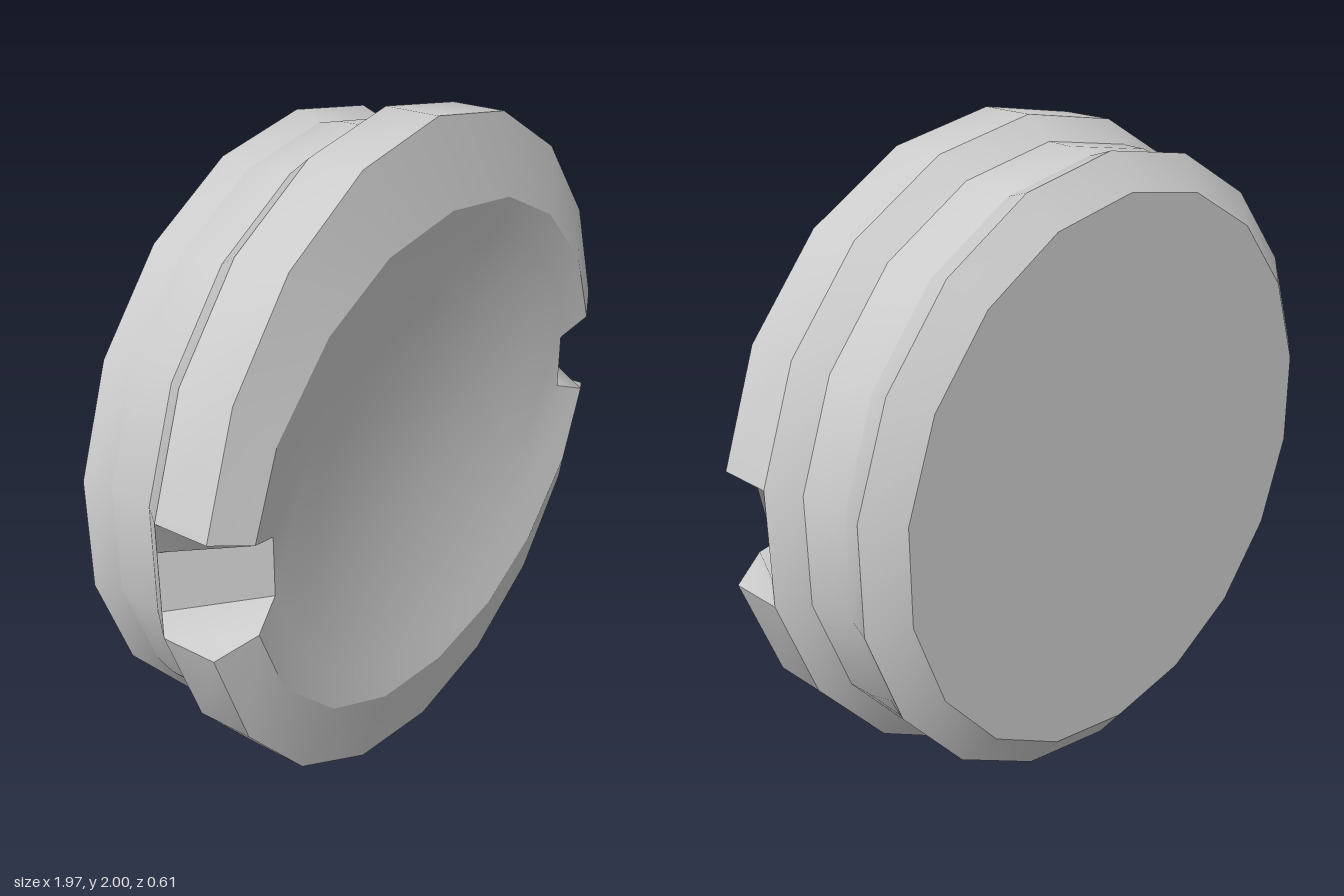
import * as THREE from 'three';
import { toCreasedNormals } from 'three/addons/utils/BufferGeometryUtils.js';

const SIDES = 18;
const NOTCH = [8, 17]; // sectors centred on -x and +x
const FRONT = 0.305, DEPTH = 0.105;
const RIM = [[0, 0.75], [0.302, 0.708], [0.56, 0.582], [0.775, 0.37], [0.87, 0.135]]; // top to side

const angle = k => (10 + 20 * k) * Math.PI / 180;

// one closed round loop of points
const loop = (z, r) => Array.from({ length: SIDES }, (_, k) =>
  new THREE.Vector3(r * Math.cos(angle(k)), r * Math.sin(angle(k)), z));

// one closed loop shaped like the oval dish rim, mirrored from its quarter
const dishLoop = t => loop(FRONT - DEPTH * (1 - t * t), 1).map(p => {
  const step = Math.round(Math.acos(Math.min(1, Math.abs(p.y))) / (Math.PI / 9));
  const [x, y] = RIM[step];
  return new THREE.Vector3(Math.sign(p.x) * x * t, Math.sign(p.y) * y * t, p.z);
});

function makeMesh(name, triangles, material, crease = 0.45) {
  const points = triangles.filter(([a, b, c]) =>
    b.clone().sub(a).cross(c.clone().sub(a)).length() > 1e-8).flat();
  const geometry = new THREE.BufferGeometry().setFromPoints(points);
  const mesh = new THREE.Mesh(toCreasedNormals(geometry, crease), material);
  mesh.name = name;
  return mesh;
}

// surface through consecutive loops, optionally leaving the notch sectors open
function skin(loops, isOpen = () => false) {
  const tris = [];
  for (let i = 0; i + 1 < loops.length; i++) {
    for (let k = 0; k < SIDES; k++) {
      if (isOpen(i) && NOTCH.includes(k)) continue;
      const n = (k + 1) % SIDES, A = loops[i], B = loops[i + 1];
      tris.push([A[k], B[k], B[n]], [A[k], B[n], A[n]]);
    }
  }
  return tris;
}

export function createModel() {
  const group = new THREE.Group();
  group.name = 'notchedDisc';
  const material = new THREE.MeshStandardMaterial({ color: 0xcccccc });
  const body = new THREE.Group();
  body.name = 'body';
  body.position.y = 1;
  group.add(body);

  // concave front dish, its outer band cut by the notches
  const dish = [0, 0.2, 0.4, 0.6, 0.75, 0.864, 1].map(dishLoop);
  const inner = dish[5], rim = dish[6];
  for (const k of NOTCH) {
    for (const j of [k, (k + 1) % SIDES]) {
      inner[j].set(Math.sign(inner[j].x) * 0.76, Math.sign(inner[j].y) * 0.09, 0.27);
    }
  }
  body.add(makeMesh('frontDish', skin(dish, i => i === 5), material));

  // front bevel and wide flange, open at the notches
  const edge = loop(0.25, 1), flangeBack = loop(0.08, 1);
  body.add(makeMesh('flange', skin([rim, edge, flangeBack], () => true), material));

  // shoulder, groove, rear lip and flat back
  const rear = [[0, 0.935], [-0.08, 0.933], [-0.15, 0.917], [-0.228, 0.943], [-FRONT, 0.842], [-FRONT, 0]];
  body.add(makeMesh('rearBody', skin([flangeBack, ...rear.map(([z, r]) => loop(z, r))]), material));

  // ramped notches with splayed side walls
  NOTCH.forEach((k, i) => {
    const notch = new THREE.Group();
    notch.name = i ? 'leftNotch' : 'rightNotch';
    body.add(notch);
    const n = (k + 1) % SIDES;
    const floorOut = [k, n].map(j => new THREE.Vector3(
      flangeBack[j].x, Math.sign(flangeBack[j].y) * 0.09, 0.08));
    notch.add(makeMesh('ramp', [
      [inner[k], floorOut[0], floorOut[1]], [inner[k], floorOut[1], inner[n]]], material));
    [k, n].forEach((j, side) => {
      const wall = [rim[j], inner[j], floorOut[side], flangeBack[j], edge[j]];
      const tris = [1, 2, 3].map(m => {
        const tri = [wall[0], wall[m], wall[m + 1]];
        return side ? tri : tri.reverse();
      });
      notch.add(makeMesh('sideWall', tris, material, 2));
    });
  });

  return group;
}
